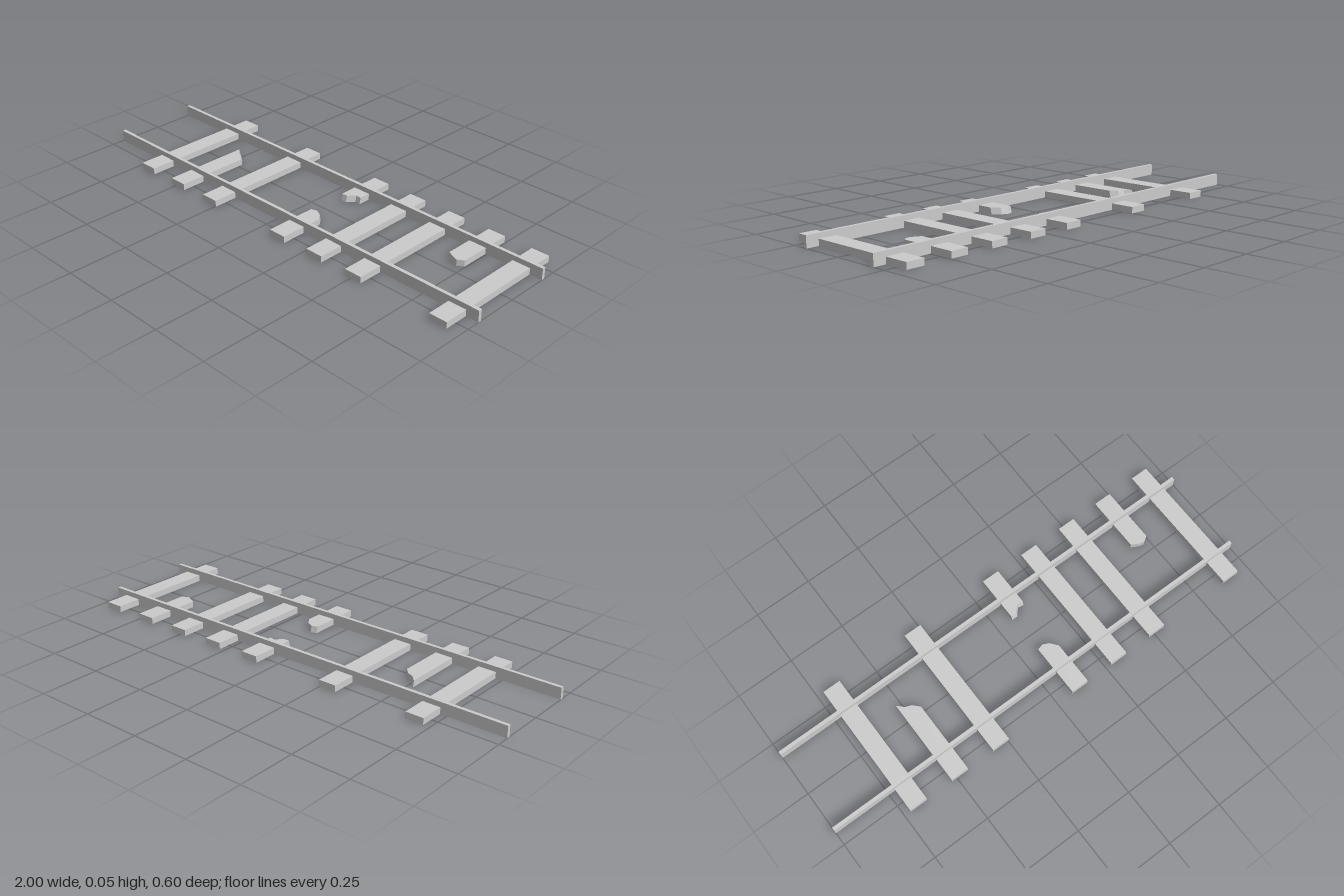
import * as THREE from 'three';

const HALF_WIDTH = 0.039, TIE_END = 0.3, TIE_HEIGHT = 0.027;
const RAIL_HEIGHT = 0.049, RAIL_Z = 0.187, RAIL_WIDTH = 0.015;

// Shell with a top and walls but no underside. Rows are z values spread
// evenly over the width; the foot rows may differ for sloping ends.
function openShell(x, halfWidth, height, back, front, backFoot = back, frontFoot = front) {
  const across = (row) => row.map((z, i) =>
    new THREE.Vector2(x - halfWidth + (2 * halfWidth * i) / (row.length - 1), -z));
  const outline = (b, f) => [...across(f), ...across(b).reverse()];
  const top = outline(back, front), foot = outline(backFoot, frontFoot);
  const pos = [];
  const put = (p, y) => pos.push(p.x, y, -p.y);
  for (const face of THREE.ShapeUtils.triangulateShape(top, [])) {
    face.forEach((i) => put(top[i], height));
  }
  for (let i = 0; i < top.length; i++) {
    const j = (i + 1) % top.length;
    put(foot[i], 0); put(foot[j], 0); put(top[j], height);
    put(foot[i], 0); put(top[j], height); put(top[i], height);
  }
  const geometry = new THREE.BufferGeometry();
  geometry.setAttribute('position', new THREE.Float32BufferAttribute(pos, 3));
  geometry.computeVertexNormals();
  return geometry;
}

export function createModel() {
  const model = new THREE.Group();
  model.name = 'brokenTrack';
  const grey = new THREE.MeshStandardMaterial({ color: 0xcccccc, side: THREE.DoubleSide });
  grey.name = 'lightGrey';

  const add = (name, geometry) => {
    const mesh = new THREE.Mesh(geometry, grey);
    mesh.name = name;
    model.add(mesh);
  };

  // Two long rails
  for (const [name, z] of [['frontRail', RAIL_Z], ['backRail', -RAIL_Z]]) {
    const b = z - RAIL_WIDTH / 2, f = z + RAIL_WIDTH / 2;
    add(name, openShell(0, 1, RAIL_HEIGHT, [b, b], [f, f]));
  }

  // Whole ties
  const back = [-TIE_END, -TIE_END], front = [TIE_END, TIE_END];
  for (const x of [-0.683, -0.285, 0.311, 0.51, 0.907]) {
    add('tie', openShell(x, HALF_WIDTH, TIE_HEIGHT, back, front));
  }

  // Snapped ties: jagged inner end, spreading slightly towards the foot
  const snapped = [
    { x: -0.485, side: 1, edge: [-0.078, -0.052, -0.042, -0.015], flare: 0.006 },
    { x: 0.112, side: 1, edge: [0.075, 0.068, 0.08, 0.112], flare: 0.006 },
    { x: 0.112, side: -1, edge: [-0.105, -0.105, -0.134, -0.13], flare: 0.006 },
    { x: 0.706, side: -1, edge: [-0.06, -0.046, -0.037, -0.053], flare: 0 },
  ];
  for (const { x, side, edge, flare } of snapped) {
    const foot = edge.map((z) => z - side * flare);
    add('brokenTie', side > 0
      ? openShell(x, HALF_WIDTH, TIE_HEIGHT, edge, front, foot, front)
      : openShell(x, HALF_WIDTH, TIE_HEIGHT, back, edge, back, foot));
  }
  return model;
}
